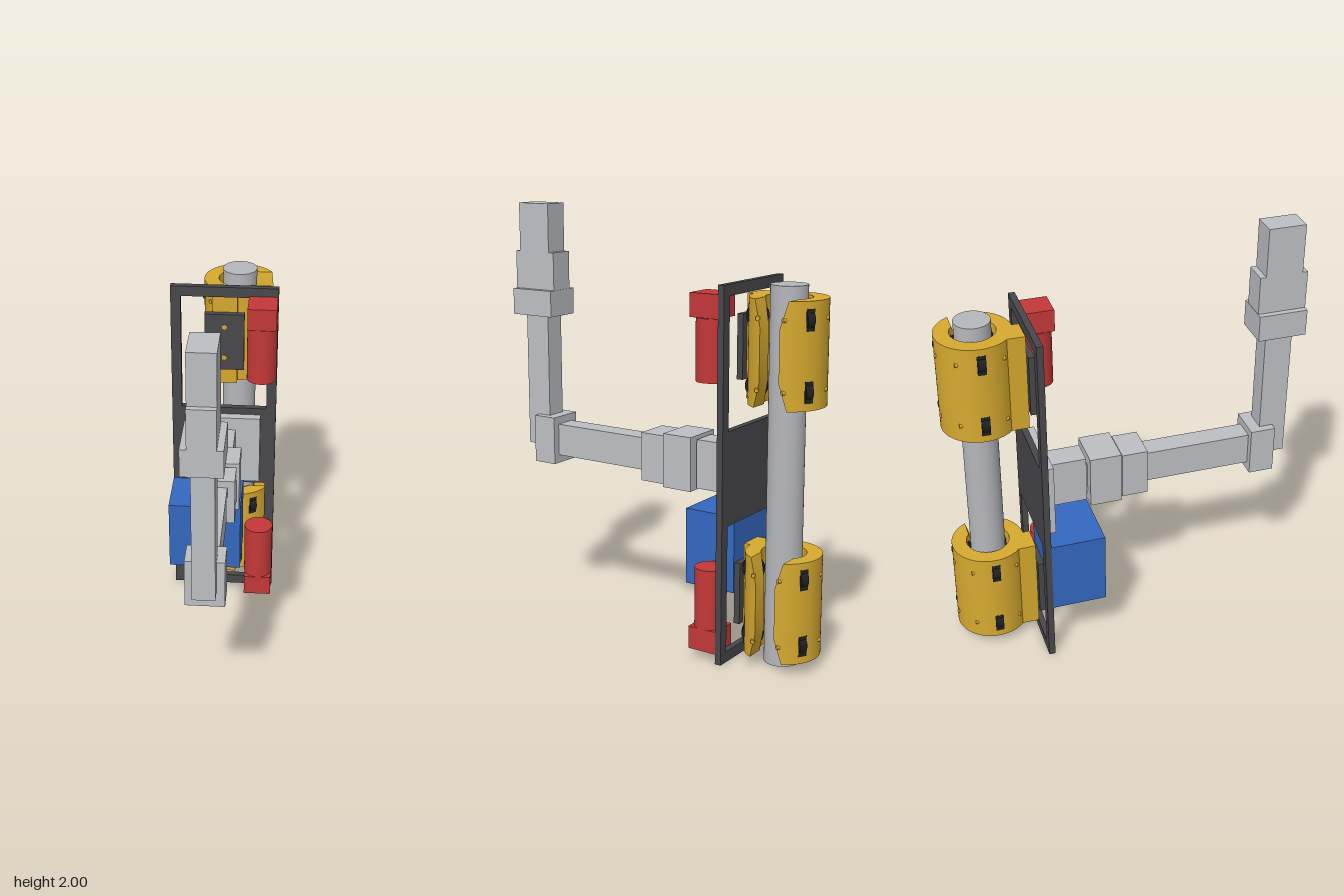
import * as THREE from 'three';
import { toCreasedNormals } from 'three/addons/utils/BufferGeometryUtils.js';

const paint = (name, color) => {
  const m = new THREE.MeshStandardMaterial({ color });
  m.name = name;
  return m;
};

export function createModel() {
  const gold = paint('gold', 0xd6a92f);
  const darkGrey = paint('dark grey', 0x48484c);
  const lightGrey = paint('light grey', 0xbdbfc3);
  const steel = paint('steel', 0xb6b7bb);
  const red = paint('red', 0xc43838);
  const blue = paint('blue', 0x3468c0);
  const black = paint('black', 0x202124);

  const model = new THREE.Group();
  model.name = 'poleClimbingRobot';

  const add = (parent, name, geometry, material, x = 0, y = 0, z = 0) => {
    const mesh = new THREE.Mesh(geometry, material);
    mesh.name = name;
    mesh.position.set(x, y, z);
    parent.add(mesh);
    return mesh;
  };
  // box given by its limits on each axis
  const box = (parent, name, material, [x0, x1], [y0, y1], [z0, z1]) =>
    add(parent, name, new THREE.BoxGeometry(x1 - x0, y1 - y0, z1 - z0), material,
      (x0 + x1) / 2, (y0 + y1) / 2, (z0 + z1) / 2);

  // Frame with two window openings
  const rect = (path, x, y0, y1) =>
    path.moveTo(-x, y0).lineTo(x, y0).lineTo(x, y1).lineTo(-x, y1).closePath();
  const outline = rect(new THREE.Shape(), 0.255, 0, 1.71);
  for (const [y0, y1] of [[0.05, 0.64], [1.07, 1.66]])
    outline.holes.push(rect(new THREE.Path(), 0.207, y0, y1));
  add(model, 'frame', new THREE.ExtrudeGeometry(outline, { depth: 0.03, bevelEnabled: false }),
    darkGrey, 0, 0, -0.46);

  // Pole
  const poleX = 0.06, poleZ = -0.665;
  add(model, 'pole', new THREE.CylinderGeometry(0.082, 0.082, 1.7, 48), steel, poleX, 0.86, poleZ);

  // Split clamp ring, its gap flaring at both ends
  const outerR = 0.172, innerR = 0.102, clampH = 0.465;
  const gapAngle = (gap, r) => Math.asin(gap / r);
  const clampGeometry = () => {
    const ao = gapAngle(0.047, outerR), ai = gapAngle(0.047, innerR);
    const shape = new THREE.Shape();
    shape.absarc(0, 0, outerR, ao, 2 * Math.PI - ao, false);
    shape.absarc(0, 0, innerR, 2 * Math.PI - ai, ai, true);
    shape.closePath();
    const g = new THREE.ExtrudeGeometry(shape,
      { depth: clampH, steps: 4, curveSegments: 48, bevelEnabled: false });
    const p = g.attributes.position;
    for (let i = 0; i < p.count; i++) {
      const z = p.getZ(i);
      if (z > 0.001 && z < clampH - 0.001) continue;
      const r = Math.hypot(p.getX(i), p.getY(i));
      const a = Math.atan2(p.getY(i), p.getX(i));
      const k = (Math.PI - gapAngle(0.08, r)) / (Math.PI - gapAngle(0.047, r));
      const b = Math.sign(a) * (Math.PI - (Math.PI - Math.abs(a)) * k);
      p.setXY(i, r * Math.cos(b), r * Math.sin(b));
    }
    g.rotateX(-Math.PI / 2);
    return toCreasedNormals(g, 0.5);
  };
  const ring = clampGeometry();

  const buildClamp = (name, y) => {
    const clamp = new THREE.Group();
    clamp.name = name;
    clamp.position.y = y;
    model.add(clamp);
    add(clamp, 'clampRing', ring, gold, poleX, -clampH / 2, poleZ);
    box(clamp, 'clampNeck', gold, [-0.06, 0.06], [-clampH / 2, clampH / 2], [-0.545, -0.46]);

    // Mounting plate and its screws
    box(clamp, 'mountPlate', darkGrey, [-0.095, 0.095], [-0.145, 0.145], [-0.46, -0.431]);
    for (const dy of [-0.08, 0.08]) {
      const screw = add(clamp, 'screw', new THREE.CylinderGeometry(0.012, 0.012, 0.004, 16),
        gold, 0, dy, -0.431);
      screw.rotation.x = Math.PI / 2;
    }

    // Rollers in slots, three around the pole at two heights
    for (const dy of [-0.153, 0.153]) {
      for (const angle of [Math.PI / 3, Math.PI, -Math.PI / 3]) {
        const unit = new THREE.Group();
        unit.name = 'rollerUnit';
        unit.position.set(poleX, dy, poleZ);
        unit.rotation.y = angle;
        clamp.add(unit);
        box(unit, 'rollerSlot', black, [0.1, 0.1725], [-0.047, 0.047], [-0.02, 0.02]);
        const wheel = add(unit, 'roller',
          new THREE.CylinderGeometry(0.05, 0.05, 0.036, 24), black, 0.133);
        const axle = add(unit, 'axle',
          new THREE.CylinderGeometry(0.01, 0.01, 0.222, 12), gold, 0.133);
        wheel.rotation.x = axle.rotation.x = Math.PI / 2;
      }
    }
  };
  buildClamp('lowerClamp', 0.29);
  buildClamp('upperClamp', 1.425);

  // Motors: square gearbox at the outer end, round body towards the middle
  for (const [name, gearY, bodyY] of [['lowerMotor', 0.0975, 0.29], ['upperMotor', 1.615, 1.42]]) {
    const motor = new THREE.Group();
    motor.name = name;
    model.add(motor);
    add(motor, 'motorGearbox', new THREE.BoxGeometry(0.136, 0.106, 0.144), red, 0.184, gearY, -0.358);
    add(motor, 'motorBody', new THREE.CylinderGeometry(0.071, 0.071, 0.28, 40), red,
      0.184, bodyY, -0.358);
  }

  // Control box
  box(model, 'controlBox', blue, [-0.255, 0.1], [0.29, 0.65], [-0.43, -0.172]);

  // Robot arm: half width, then y and z limits
  const arm = new THREE.Group();
  arm.name = 'arm';
  model.add(arm);
  for (const [name, w, y, z] of [
    ['armBase', 0.18, [0.675, 1.035], [-0.43, -0.387]],
    ['shoulderMount', 0.06, [0.74, 0.97], [-0.387, -0.203]],
    ['shoulder', 0.1, [0.73, 0.985], [-0.195, -0.044]],
    ['shoulderJoint', 0.087, [0.74, 0.97], [-0.036, 0.087]],
    ['upperArm', 0.052, [0.78, 0.935], [0.087, 0.605]],
    ['elbow', 0.087, [0.74, 0.972], [0.605, 0.725]],
    ['forearm', 0.05, [0.82, 1.465], [0.66, 0.79]],
    ['wrist', 0.088, [1.465, 1.59], [0.61, 0.84]],
    ['hand', 0.06, [1.59, 1.77], [0.612, 0.84]],
    ['gripper', 0.06, [1.77, 2], [0.64, 0.815]],
  ]) box(arm, name, lightGrey, [-w, w], y, z);

  // Short spindles joining the shoulder blocks
  box(arm, 'shoulderSpindle', lightGrey, [-0.05, 0.05], [0.78, 0.93], [-0.21, -0.03]);

  return model;
}
